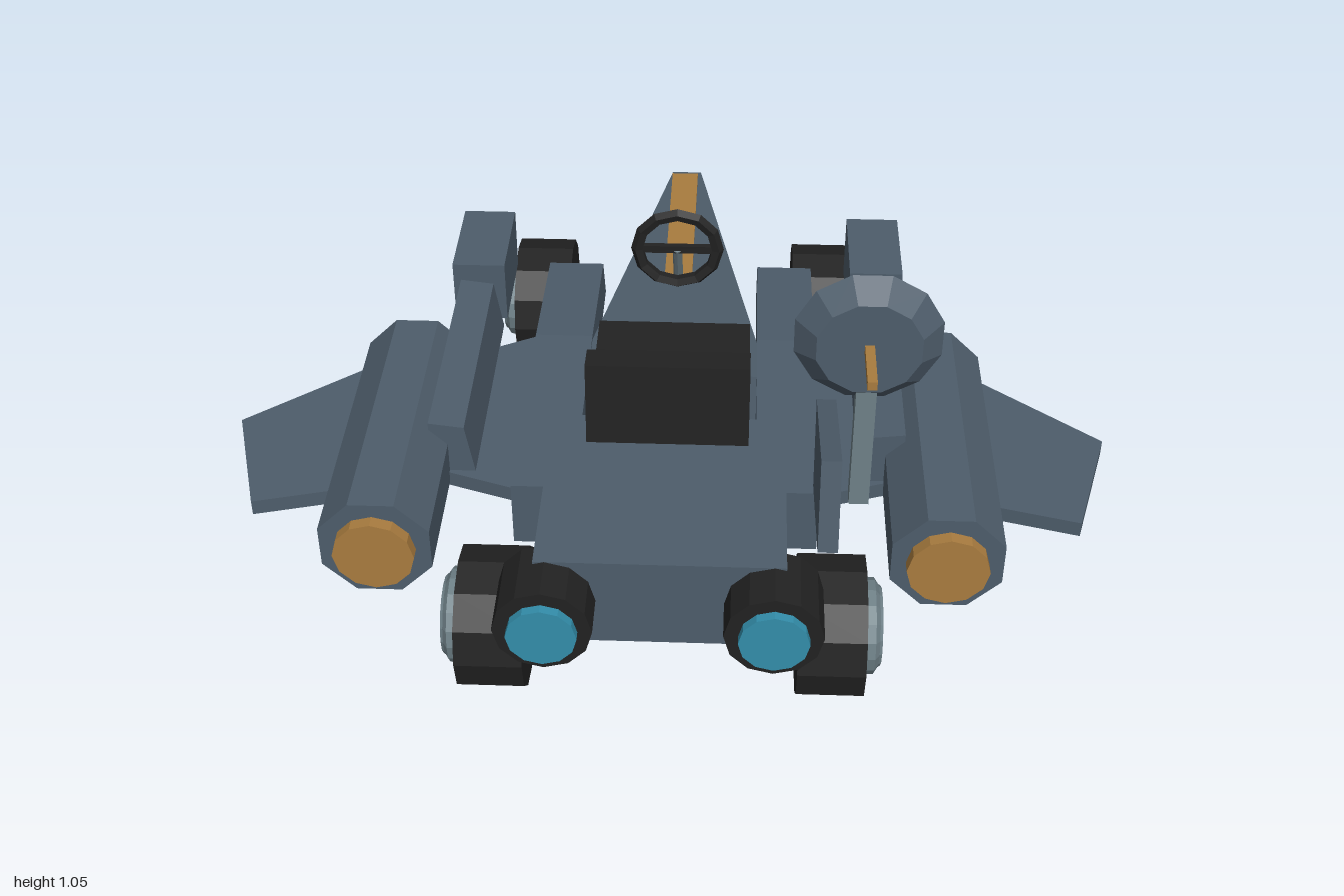
import * as THREE from 'three';

const paint = (name, color) => Object.assign(new THREE.MeshStandardMaterial({ color, flatShading: true }), { name });

export function createModel() {
  const model = new THREE.Group();
  model.name = 'jetCar';
  const blue = paint('slateBlue', 0x4e5d6b);
  const black = paint('rubberBlack', 0x222222);
  const grey = paint('metalGrey', 0x6f8188);
  const orange = paint('burntOrange', 0xa97c3f);
  const cyan = paint('lampCyan', 0x338eab);

  const add = (name, geo, mat, x = 0, y = 0, z = 0, parent = model) => {
    const m = new THREE.Mesh(geo, mat);
    m.name = name;
    m.position.set(x, y, z);
    parent.add(m);
    return m;
  };
  // Box given by its limits
  const box = (name, mat, x0, x1, y0, y1, z0, z1) =>
    add(name, new THREE.BoxGeometry(Math.abs(x1 - x0), y1 - y0, z1 - z0), mat, (x0 + x1) / 2, (y0 + y1) / 2, (z0 + z1) / 2);
  const extrude = (pts, depth) =>
    new THREE.ExtrudeGeometry(new THREE.Shape(pts.map(p => new THREE.Vector2(...p))), { depth, bevelEnabled: false });
  // Side profile [z, y], centred on x and w wide
  const sideSlab = (name, mat, pts, x, w) =>
    add(name, extrude(pts, w).rotateY(-Math.PI / 2), mat, x + w / 2);
  // Plan outline [x, z], mirrored by s, between two heights
  const planSlab = (name, mat, pts, s, y0, y1) =>
    add(name, extrude(pts.map(([x, z]) => [s * x, -z]), y1 - y0).rotateX(-Math.PI / 2), mat, 0, y0);
  // Cylinder along z with its flat or corner at the top
  const barrel = (rFront, rBack, len, sides, turn = 0) =>
    new THREE.CylinderGeometry(rFront, rBack, len, sides).rotateY(turn).rotateX(Math.PI / 2);

  // Tapered nose: box corners moved to a wedge
  const nose = new THREE.BoxGeometry(1, 1, 1).toNonIndexed();
  const p = nose.attributes.position;
  for (let i = 0; i < p.count; i++) {
    const top = p.getY(i) > 0, tip = p.getZ(i) < 0, s = Math.sign(p.getX(i));
    const half = tip ? (top ? 0.04 : 0.05) : (top ? 0.23 : 0.26);
    p.setXYZ(i, s * half, top ? (tip ? 0.36 : 0.43) : 0.185, tip ? (top ? -0.88 : -0.955) : (top ? 0.17 : 0.2));
  }
  nose.computeVertexNormals();
  add('nose', nose, blue);
  box('noseStripe', orange, -0.035, 0.035, 0.438, 0.447, -0.73, -0.22);

  // Rear body
  box('rearBody', blue, -0.27, 0.27, 0.205, 0.432, 0.335, 0.835);

  // Seat
  box('seatCushion', black, -0.185, 0.185, 0.425, 0.47, 0.01, 0.38);
  const back = new THREE.Group();
  back.name = 'seatBack';
  back.position.set(0, 0.54, 0.4);
  back.rotation.x = -0.09;
  model.add(back);
  add('backrest', new THREE.BoxGeometry(0.37, 0.205, 0.07), black, 0, 0, 0, back);
  add('backPad', new THREE.BoxGeometry(0.29, 0.16, 0.02), blue, 0, -0.01, -0.042, back);

  // Steering wheel and column
  add('steeringWheel', new THREE.TorusGeometry(0.1, 0.016, 5, 12), black, 0, 0.575, -0.16);
  add('steeringHub', new THREE.BoxGeometry(0.19, 0.02, 0.014), black, 0, 0.575, -0.16);
  const column = add('steeringColumn', new THREE.CylinderGeometry(0.012, 0.012, 0.18, 8), grey, 0, 0.495, -0.2);
  column.rotation.x = Math.atan2(0.08, 0.16);

  // Wheel with a stepped rim and five spokes; its outer side is +x
  const makeWheel = (s, z) => {
    const w = new THREE.Group();
    w.name = 'wheel';
    w.position.set(s * 0.375, 0.16, z);
    if (s < 0) w.rotation.y = Math.PI;
    model.add(w);
    add('tire', new THREE.CylinderGeometry(0.16, 0.16, 0.15, 12).rotateX(0).rotateZ(-Math.PI / 2), black, 0, 0, 0, w);
    const rim = [[0.078, 0], [0.107, 0], [0.107, 0.024], [0.092, 0.034], [0.088, 0.04], [0.078, 0.04], [0.078, 0]];
    add('rim', new THREE.LatheGeometry(rim.map(q => new THREE.Vector2(...q)), 16).rotateZ(-Math.PI / 2), grey, 0.073, 0, 0, w);
    add('hub', new THREE.CylinderGeometry(0.024, 0.024, 0.036, 10).rotateZ(-Math.PI / 2), grey, 0.09, 0, 0, w);
    for (let i = 0; i < 5; i++) {
      const spoke = new THREE.BoxGeometry(0.026, 0.085, 0.02).translate(0, 0.043, 0).rotateX(i * Math.PI * 2 / 5);
      add('spoke', spoke, grey, 0.087, 0, 0, w);
    }
  };

  for (const s of [1, -1]) {
    makeWheel(s, 0.72);
    makeWheel(s, -0.53);

    // Side pontoon beside the nose
    sideSlab('pontoon', blue, [[-0.41, 0.265], [-0.35, 0.395], [0.02, 0.43], [0.59, 0.43], [0.59, 0.265]], s * 0.273, 0.14);

    // Strut from body to engine
    planSlab('strut', blue, [[0.26, -0.04], [0.53, 0.1], [0.53, 0.515], [0.3, 0.59]], s, 0.375, 0.412);

    // Engine pod, nozzle and inner fairing
    add('enginePod', barrel(0.129, 0.129, 0.665, 8, Math.PI / 8), blue, s * 0.608, 0.437, 0.4785);
    add('engineNozzle', barrel(0.088, 0.088, 0.03, 12), orange, s * 0.608, 0.437, 0.824);
    const fairing = [[0.43, 0.41], [0.45, 0.535], [0.53, 0.545], [0.53, 0.385], [0.435, 0.385]];
    add('engineFairing', extrude(fairing.map(([x, y]) => [s * x, y]), 0.565), blue, 0, 0, -0.045);
    box('frontPod', blue, s * 0.43, s * 0.56, 0.385, 0.545, -0.36, -0.11);

    // Wing
    planSlab('wing', blue, [[0.68, 0.14], [0.735, 0.145], [1, 0.36], [0.915, 0.645], [0.68, 0.585]], s, 0.375, 0.412);

    // Rear lamp
    add('lampHousing', barrel(0.107, 0.107, 0.15, 12), black, s * 0.245, 0.325, 0.857);
    add('lampLens', barrel(0.076, 0.076, 0.022, 12), cyan, s * 0.245, 0.325, 0.942);
  }

  // Single tail fin on the left
  sideSlab('tailFin', blue, [[0.86, 0.75], [0.57, 0.68], [0.615, 0.475], [0.905, 0.545]], 0.348, 0.042);

  // Dish on a mast, with its feed
  box('dishMast', grey, 0.402, 0.445, 0.475, 0.8, 0.632, 0.672);
  add('dish', barrel(0.112, 0.158, 0.046, 12, Math.PI / 12), blue, 0.423, 0.893, 0.654);
  add('dishFeed', new THREE.BoxGeometry(0.02, 0.02, 0.13), orange, 0.423, 0.895, 0.735);

  return model;
}
